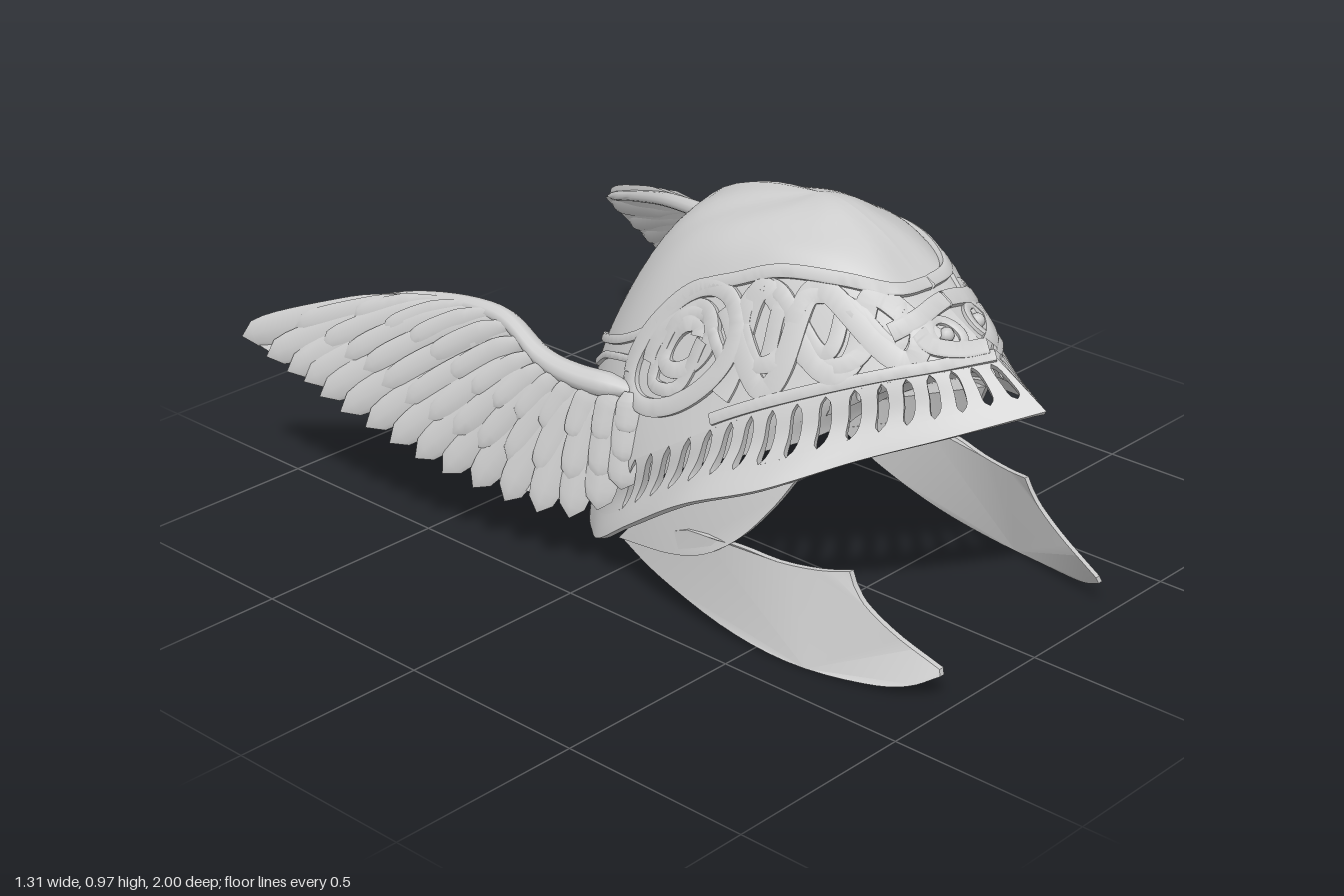
import * as THREE from 'three';
import { mergeGeometries, toCreasedNormals } from 'three/addons/utils/BufferGeometryUtils.js';

const V = (x, y, z) => new THREE.Vector3(x, y, z);
const clamp = THREE.MathUtils.clamp;
const spline = pts => new THREE.CatmullRomCurve3(pts.map(p => V(...p)), false, 'catmullrom', 0.5);
const material = new THREE.MeshStandardMaterial({ color: 0xcccccc, side: THREE.DoubleSide });

// Half-shell guide curves, each running from the front ridge to the back ridge
const rows = [
  [[0, .62, 1], [.15, .56, .85], [.275, .495, .69], [.41, .415, .52], [.463, .335, .33],
    [.445, .21, .14], [.4, .11, 0], [.315, .06, -.11], [.185, .025, -.24], [0, .003, -.31]],
  [[0, .705, .86], [.105, .69, .78], [.205, .655, .66], [.3, .59, .5], [.355, .52, .36],
    [.388, .42, .2], [.385, .33, .05], [.31, .28, -.1], [.185, .24, -.22], [0, .22, -.275]],
  [[0, .83, .65], [.09, .835, .63], [.155, .85, .53], [.205, .845, .4], [.24, .8, .29],
    [.265, .735, .17], [.295, .62, .03], [.26, .55, -.09], [.155, .51, -.2], [0, .5, -.265]],
  [[0, .93, .5], [.05, .928, .49], [.1, .922, .44], [.13, .915, .36], [.15, .905, .28],
    [.17, .885, .2], [.175, .86, .12], [.15, .85, .06], [.09, .865, .015], [0, .88, 0]],
].map(spline);
const crown = V(0, .967, .33);

// Shell point at column c (0..9) and row r (0..4); the curve runs over the crown,
// round along the ridge and slightly peaked across it
function point(c, r) {
  const t = clamp(c / 9, 0, 1), side = Math.sin(Math.PI * t), pts = rows.map(row => row.getPoint(t));
  const beyond = rows[3].getPoint(1 - t);
  beyond.x *= -1;
  beyond.y += side * .5 * (2 * crown.y - pts[3].y - beyond.y);
  const p = new THREE.CatmullRomCurve3([...pts, crown, beyond], false, 'catmullrom', 0.5).getPoint(clamp(r / 5, 0, .8));
  if (r < 1) p.x -= .02 * side * Math.sin(Math.PI * Math.max(0, r)) ** 2; // flared lip
  return p;
}
function frame(c, r) {
  const e = .02, cc = clamp(c, e, 9 - e), rr = clamp(r, e, 3.95);
  const dc = point(cc + e, rr).sub(point(cc - e, rr)), dr = point(cc, rr + e).sub(point(cc, rr - e));
  return { p: point(c, r), n: dc.cross(dr).normalize() };
}

// Surface from a rule over (u, v)
function grid(fn, nu, nv) {
  const pos = [], idx = [];
  for (let i = 0; i <= nu; i++) for (let j = 0; j <= nv; j++) pos.push(...fn(i / nu, j / nv).toArray());
  for (let i = 0; i < nu; i++) for (let j = 0; j < nv; j++) {
    const a = i * (nv + 1) + j, b = a + nv + 1;
    idx.push(a, b, b + 1, a, b + 1, a + 1);
  }
  const g = new THREE.BufferGeometry();
  g.setAttribute('position', new THREE.Float32BufferAttribute(pos, 3));
  g.setIndex(idx);
  return toCreasedNormals(g, .75);
}

// Thick piece of the shell; f maps (u, v) to [column, row], looping outer face to inner face
function slab(f, nu, nv, th = .015) {
  const n = 2 * nv + 2;
  return grid((u, v) => {
    const j = Math.round(v * n) % n, outer = j <= nv;
    const [c, r] = f(u, outer ? j / nv : (n - 1 - j) / nv);
    const { p, n: normal } = frame(c, r);
    if (!outer) p.addScaledVector(normal, -th);
    if (c <= 0 || c >= 9) p.x = 0;
    return p;
  }, nu, n);
}

// Raised flat band lying on the shell along [column, row] points
function ribbon(pts, w = .02, h = .008, seg = 60, weave = 0) {
  const path = spline(pts.map(([c, r]) => [c, r, 0]));
  const section = [[-1, -.8], [-1, .7], [-.7, 1], [.7, 1], [1, .7], [1, -.8], [-1, -.8]];
  return grid((u, v) => {
    const q = path.getPoint(u), { p, n } = frame(q.x, q.y);
    const a = path.getPoint(Math.max(0, u - .01)), b = path.getPoint(Math.min(1, u + .01));
    const side = n.clone().cross(point(b.x, b.y).sub(point(a.x, a.y)).normalize());
    const [s, k] = section[Math.round(v * 6)];
    p.addScaledVector(side, s * w).addScaledVector(n, k * h + .003 * (1 + Math.sin(weave * u)));
    p.x = Math.max(0, p.x);
    return p;
  }, seg, 6);
}
const wave = (c0, c1, mid, amp, k, phase) => Array.from({ length: 33 }, (_, i) => {
  const c = c0 + (c1 - c0) * i / 32;
  return [c, mid + amp * Math.sin(k * c + phase)];
});
const oval = (c, r, rc, rr, turns = 1, shrink = 0) => Array.from({ length: 33 }, (_, i) => {
  const a = i / 32 * Math.PI * 2 * turns, s = 1 - shrink * i / 32;
  return [c + rc * s * Math.cos(a), r + rr * s * Math.sin(a)];
});

// Cheek plate cut in the side plane, bent and tilted inward toward the front
function plate(pts, x0, depth) {
  const g = new THREE.ExtrudeGeometry(new THREE.Shape(pts.map(p => new THREE.Vector2(...p))),
    { depth, bevelEnabled: false });
  const p = g.attributes.position;
  for (let i = 0; i < p.count; i++) {
    const z = p.getX(i), y = p.getY(i), d = p.getZ(i);
    p.setXYZ(i, x0 - .3 * Math.max(0, z - .45) ** 2 - .75 * Math.max(0, z - .4) * y + d, y, z);
  }
  g.deleteAttribute('uv');
  return toCreasedNormals(g, .5);
}
const smooth = (pts, n) => spline(pts.map(([a, b]) => [a, b, 0])).getPoints(n).map(p => [p.x, p.y]);

// Wing guides: leading edge and the line of feather tips
const lead = spline([[.35, .5, .07], [.385, .505, -.07], [.4, .53, -.18], [.405, .6, -.32],
  [.45, .59, -.55], [.53, .53, -.76], [.645, .44, -.995]]);
const tips = spline([[.41, .27, .085], [.45, .185, 0], [.49, .17, -.12], [.515, .18, -.26], [.545, .205, -.39],
  [.575, .24, -.5], [.595, .275, -.61], [.615, .31, -.72], [.625, .35, -.8], [.64, .375, -.88], [.655, .425, -.995]]);
const wingN = V(.94, .24, .25).normalize();

function feather(u, reach, half, lift) {
  const base = lead.getPoint(.62 * u), tip = base.clone().lerp(tips.getPoint(u), reach);
  const mid = base.clone().lerp(tip, .5).lerp(lead.getPoint(.62 * u + .19 * u * reach), .45);
  const spine = new THREE.QuadraticBezierCurve3(base, mid, tip);
  return grid((s, v) => {
    const across = wingN.clone().cross(spine.getTangent(s)).normalize().addScaledVector(wingN, .15);
    const w = half * (.45 + .55 * Math.min(1, s * 2.5)) * Math.sqrt(Math.max(0, 1 - s ** 12));
    const a = v * Math.PI * 2;
    return spine.getPoint(s).addScaledVector(across, w * Math.cos(a))
      .addScaledVector(wingN, lift + .25 * w * Math.sin(a));
  }, 16, 8);
}
const fan = (n, reach, half, lift) => Array.from({ length: n }, (_, i) => feather(i / (n - 1), reach, half, lift));

export function createModel() {
  const model = new THREE.Group();
  model.name = 'wingedHelmet';

  // Adds a part on the left and its mirror on the right
  const add = (name, ...geos) => {
    const left = mergeGeometries(geos), right = left.clone();
    for (const key of ['position', 'normal']) {
      const src = left.attributes[key], dst = right.attributes[key];
      for (let i = 0; i < src.count; i++) {
        const k = i - i % 3 + 2 - i % 3;
        dst.setXYZ(i, -src.getX(k), src.getY(k), src.getZ(k));
      }
    }
    [[left, 'Left'], [right, 'Right']].forEach(([g, side]) => {
      const mesh = new THREE.Mesh(g, material);
      mesh.name = name + side;
      model.add(mesh);
    });
  };

  // Dome, solid rear and rim
  const lo = .32, hi = .95, slotEnd = 5.7, slots = 17;
  add('dome', slab((u, v) => [9 * u, hi + (4 - hi) * v], 72, 24));
  add('neckGuard', slab((u, v) => [slotEnd + (9 - slotEnd) * u, lo - .02 + (hi - lo + .04) * v], 30, 6));
  add('rim', slab((u, v) => [9 * u, lo * v], 72, 4));

  // Visor ribs, widening at both ends so the slots are rounded
  const pitch = slotEnd / slots, ribs = [];
  for (let i = 0; i <= slots; i++) ribs.push(slab((u, v) => {
    const half = pitch * (.29 + .21 * Math.abs(2 * u - 1) ** 6);
    return [Math.max(0, i * pitch + half * (2 * v - 1)), lo + (hi - lo) * u];
  }, 10, 2, .02));
  add('visorRibs', ...ribs);

  // Border bands, trailing bands and rear seam
  add('borders',
    ribbon(wave(0, 4.2, 1.04, 0, 1, 0), .014),
    ribbon([[0, 1.97], [.8, 1.97], [1.8, 2], [3, 2.02], [3.8, 2.03], [4.8, 2.06], [5.5, 1.95]], .016, .011),
    ribbon([[5.5, 1.92], [6.2, 1.98], [7, 2.02], [7.7, 2]], .011),
    ribbon([[5.7, 1.72], [6.3, 1.84], [6.9, 1.88], [7.4, 1.8]], .009),
    ribbon([[6, 1], [7, 1], [8, 1], [9, 1]], .005, .003));

  // Interlaced strands around the brow
  const k = Math.PI * 2 / 1.9;
  add('interlace',
    ribbon(wave(.8, 4.1, 1.5, .36, k, 0), .026, .007, 90, 22),
    ribbon(wave(.8, 4.1, 1.5, .36, k, Math.PI), .026, .007, 90, -22),
    ribbon(wave(1, 4, 1.52, .2, 2 * k, 1), .018, .006, 90, 30),
    ribbon(oval(2.35, 1.5, .5, .3), .02, .007, 50, 19),
    ribbon(oval(3.3, 1.6, .45, .28), .02, .007, 50, 19));

  // Side medallion
  add('medallion',
    ribbon(oval(4.85, 1.66, 1, .39), .022, .011),
    ribbon(oval(4.85, 1.66, .66, .26, 1.5, .65), .02, .008, 80, 25),
    ribbon([[4.1, 1.45], [4.5, 1.78], [5.1, 1.83], [5.4, 1.52], [4.9, 1.38], [4.5, 1.62]], .016, .009, 60, 20));

  // Beast mask at the front: brow, muzzle and eyes
  const eye = new THREE.SphereGeometry(.018, 12, 8).toNonIndexed();
  eye.deleteAttribute('uv');
  const e = frame(.55, 1.38);
  eye.translate(...e.p.addScaledVector(e.n, .002).toArray());
  add('mask', eye,
    ribbon(oval(.55, 1.38, .3, .17), .01, .008, 30),
    ribbon([[0, 1.74], [.5, 1.68], [1, 1.58], [1.5, 1.45]], .022, .012, 30),
    ribbon([[0, 1.16], [.5, 1.17], [.95, 1.28], [1.05, 1.45]], .02, .012, 30));

  // Cheek panel and forward-sweeping cheek guard
  add('cheekPanel', plate([
    ...smooth([[.59, .46], [.53, .36], [.45, .265], [.35, .195], [.24, .16], [.08, .145]], 24),
    [.12, .19], [.21, .27], [.35, .355], [.48, .42]], .4, .016));
  add('cheekGuard', plate([
    ...smooth([[.3, .24], [.44, .247], [.55, .235], [.65, .238], [.72, .25]], 12),
    ...smooth([[.735, .22], [.77, .18], [.85, .13], [.96, .08]], 10),
    ...smooth([[.965, .065], [.9, .03], [.8, .012], [.6, .005], [.4, .03], [.2, .09], [.08, .15]], 24)], .398, .014));

  // Wings: leading edge, backing and three tiers of feathers
  add('wingLeadingEdge', grid((u, v) => {
    const r = .035 * (1 - .65 * u) * Math.sqrt(Math.min(1, u * 12 + .05, (1 - u) * 20)), a = v * Math.PI * 2;
    return lead.getPoint(u).add(V(r * Math.cos(a), r * Math.sin(a), 0));
  }, 40, 10));
  add('wingBacking', grid((u, v) => lead.getPoint(u).lerp(tips.getPoint(u), .88 * v).addScaledVector(wingN, -.006), 30, 8));
  add('longFeathers', ...fan(16, 1, .044, 0));
  add('middleFeathers', ...fan(14, .72, .036, .009));
  add('shortFeathers', ...fan(12, .42, .03, .015));

  return model;
}
